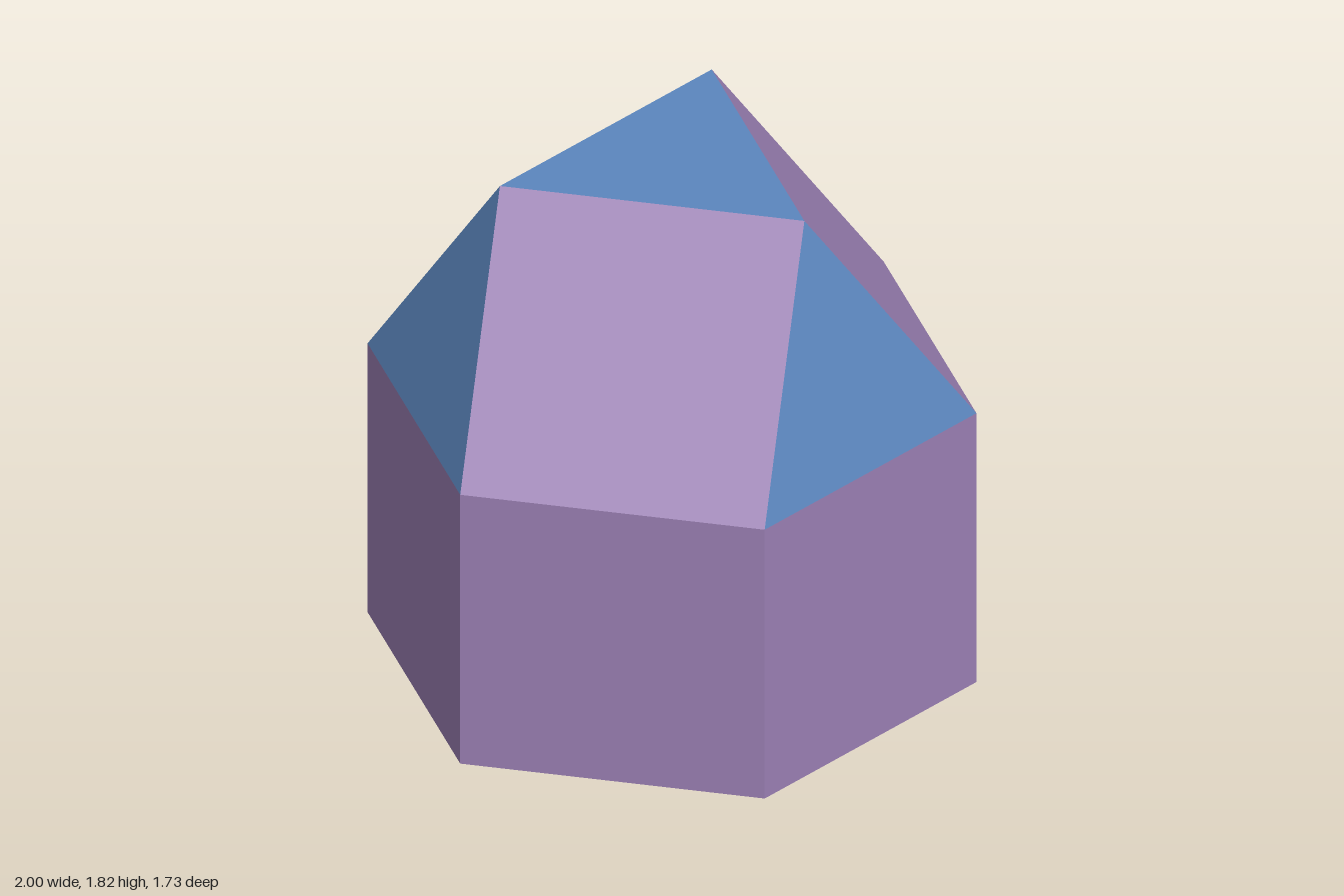
import * as THREE from 'three';

const purple = new THREE.MeshStandardMaterial({ color: 0x9b80b5, flatShading: true });
purple.name = 'purple';
const blue = new THREE.MeshStandardMaterial({ color: 0x5b86be, flatShading: true });
blue.name = 'blue';

const EDGE = 1;                                   // every edge has the same length
const TOP_RADIUS = EDGE / Math.sqrt(3);
const ROOF_HEIGHT = EDGE * Math.sqrt(2 / 3);

// Point on a ring, with the angle measured from +z towards +x
function ringPoint(radius, degrees, y) {
  const a = THREE.MathUtils.degToRad(degrees);
  return new THREE.Vector3(radius * Math.sin(a), y, radius * Math.cos(a));
}
const eave = (degrees) => ringPoint(EDGE, degrees, EDGE);
const peak = (degrees) => ringPoint(TOP_RADIUS, degrees, EDGE + ROOF_HEIGHT);

// Flat convex face, corners counter-clockwise from outside
function face(corners) {
  const points = [];
  for (let i = 1; i < corners.length - 1; i++) points.push(corners[0], corners[i], corners[i + 1]);
  const geometry = new THREE.BufferGeometry().setFromPoints(points);
  geometry.computeVertexNormals();
  return geometry;
}

export function createModel() {
  const model = new THREE.Group();
  const add = (name, geometry, material, parent = model) => {
    const mesh = new THREE.Mesh(geometry, material);
    mesh.name = name;
    parent.add(mesh);
    return mesh;
  };

  // Hexagonal prism walls and floor
  const walls = new THREE.CylinderGeometry(EDGE, EDGE, EDGE, 6, 1, true, Math.PI / 6);
  add('walls', walls.translate(0, EDGE / 2, 0), purple);
  add('floor', new THREE.CircleGeometry(EDGE, 6).rotateX(Math.PI / 2), purple);

  // Roof: squares and triangles alternate around a triangular top
  const roof = new THREE.Group();
  roof.name = 'roof';
  model.add(roof);
  for (const d of [0, 120, 240]) {
    add('roofTriangle', face([eave(d - 30), eave(d + 30), peak(d)]), blue, roof);
    add('roofSquare', face([eave(d + 30), eave(d + 90), peak(d + 120), peak(d)]), purple, roof);
  }
  add('topTriangle', face([peak(0), peak(120), peak(240)]), blue, roof);

  return model;
}
